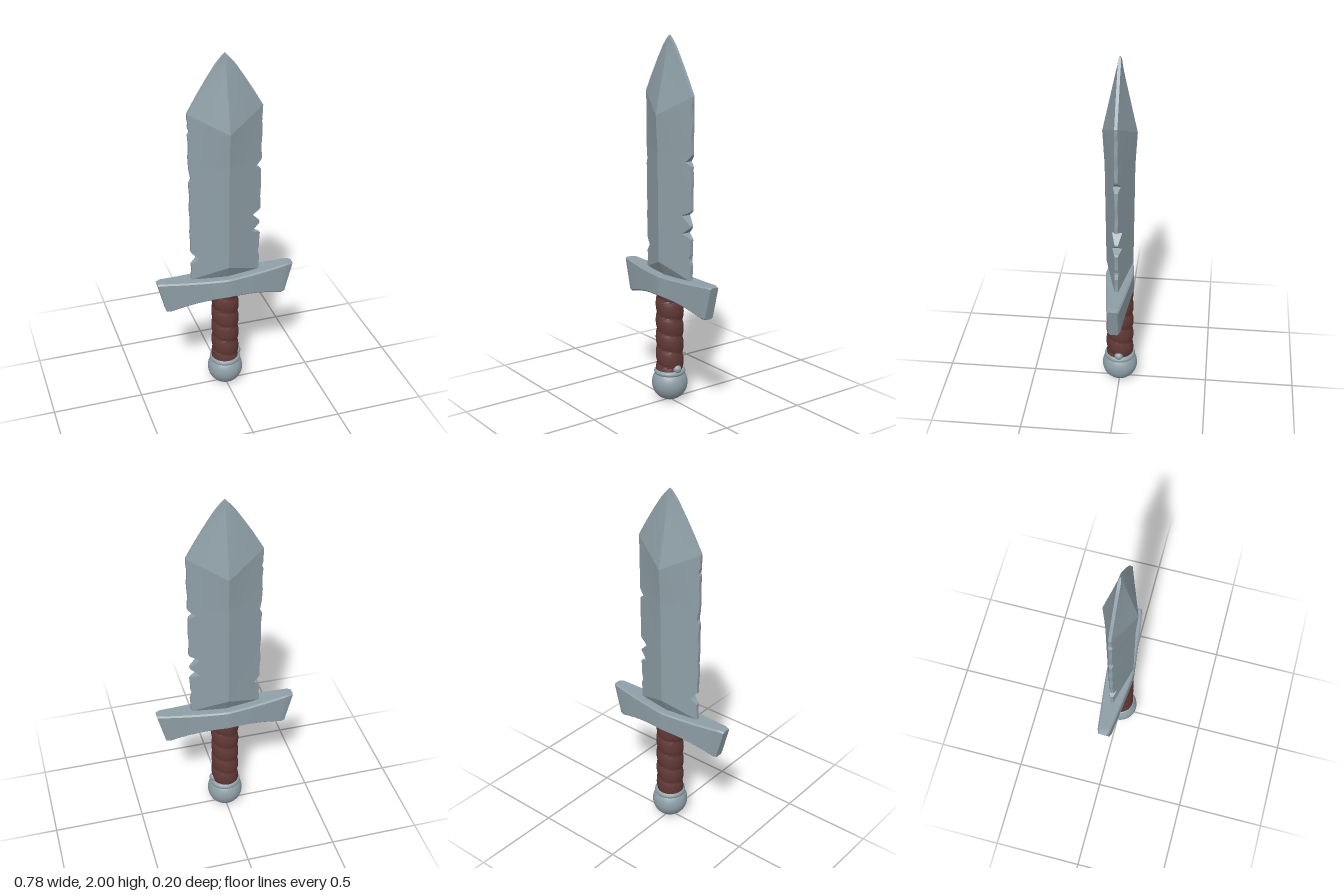
import * as THREE from 'three';
import { toCreasedNormals } from 'three/addons/utils/BufferGeometryUtils.js';

// Piecewise linear lookup in a list of [key, value]
function lookup(points, t) {
  if (t <= points[0][0]) return points[0][1];
  for (let i = 1; i < points.length; i++) {
    const [a, va] = points[i - 1], [b, vb] = points[i];
    if (t <= b) return va + (vb - va) * (t - a) / (b - a);
  }
  return points[points.length - 1][1];
}

// Skin over closed rings of points, with a fan cap at both ends
function loft(rings, crease) {
  const n = rings[0].length, pos = [], index = [];
  rings.forEach(r => r.forEach(p => pos.push(...p)));
  for (let k = 0; k < rings.length - 1; k++) {
    for (let i = 0; i < n; i++) {
      const j = (i + 1) % n, a = k * n, b = a + n;
      index.push(a + i, a + j, b + j, a + i, b + j, b + i);
    }
  }
  [0, rings.length - 1].forEach(k => {
    const c = pos.length / 3;
    pos.push(...[0, 1, 2].map(d => rings[k].reduce((s, p) => s + p[d], 0) / n));
    for (let i = 0; i < n; i++) {
      const a = k * n + i, b = k * n + (i + 1) % n;
      if (k === 0) index.push(c, b, a); else index.push(c, a, b);
    }
  });
  const geo = new THREE.BufferGeometry();
  geo.setAttribute('position', new THREE.Float32BufferAttribute(pos, 3));
  geo.setIndex(index);
  return toCreasedNormals(geo, crease);
}

// Blade: outline, ridge height and the chevron bend of the rows
const OUTLINE = [[0.72, 0.195], [1.7, 0.202], [1.79, 0.15], [1.87, 0.1], [1.945, 0.05], [2, 0.002]];
const RIDGE = [[0.72, 0.032], [0.8, 0.074], [1.4, 0.08], [1.59, 0.091], [2, 0.003]];
const BEND = [[0.72, 0], [0.8, -0.075], [0.95, 0], [1.42, 0], [1.59, 0.11], [2, 0]];
// Nicks in the edges: [side, y, depth, reach below, reach above]
const NICKS = [
  [1, 1.36, 0.035, 0.018, 0.035], [1, 1.075, 0.055, 0.05, 0.025], [1, 0.975, 0.055, 0.02, 0.04],
  [1, 0.84, 0.012, 0.03, 0.03], [-1, 0.855, 0.042, 0.035, 0.04], [-1, 1.33, 0.012, 0.02, 0.05],
  [-1, 1.6, 0.012, 0.015, 0.02],
];

function edgeX(side, y) {
  let x = lookup(OUTLINE, y);
  if (y < 1.66) x -= 0.002 + 0.002 * Math.sin(y * 43 + side);
  for (const [s, ny, depth, below, above] of NICKS) {
    if (s !== side) continue;
    const d = y < ny ? (ny - y) / below : (y - ny) / above;
    if (d < 1) x -= depth * (1 - d);
  }
  return x;
}

function bladeGeometry() {
  const levels = [0.72, 0.76, 0.8];
  for (let y = 0.808; y < 1.585; y += 0.008) levels.push(y);
  for (let i = 0; i <= 24; i++) levels.push(1.59 + 0.41 * i / 24);
  const us = [-1, -0.75, -0.5, -0.25, 0, 0.25, 0.5, 0.75, 1];
  return loft(levels.map(level => {
    const bend = lookup(BEND, level), ridge = lookup(RIDGE, level);
    const thin = Math.min(0.008, ridge);
    const yEdge = level + bend, half = lookup(OUTLINE, yEdge);
    const front = us.map(u => {
      const x = u * edgeX(u < 0 ? -1 : 1, yEdge);
      const z = thin + (ridge - thin) * Math.max(0, 1 - Math.abs(x) / half);
      return [x, level + bend * Math.abs(u), z];
    });
    return [...front, ...front.map(([x, y, z]) => [x, y, -z]).reverse()];
  }), 0.16);
}

// Guard: bevelled bar, thick in the middle and flaring at the ends
function guardGeometry() {
  const rings = [];
  for (let i = 0; i <= 32; i++) {
    const s = i / 16 - 1, end = Math.abs(s) === 1 ? 0.006 : 0;
    const top = 0.722 + 0.018 * s * s - end, bottom = 0.605 - 0.06 * s * s + end;
    const z = 0.077 - 0.045 * Math.pow(Math.abs(s), 1.1) - end, b = 0.008;
    const x = y => s * (0.34 + 0.048 * (y - bottom) / (top - bottom));
    const section = [
      [bottom, z - b], [bottom, b - z], [bottom + b, -z], [top - b, -z],
      [top, b - z], [top, z - b], [top - b, z], [bottom + b, z],
    ];
    rings.push(section.map(([y, w]) => [x(y), y, w]));
  }
  return loft(rings, 0.5);
}

// Grip: a rod with a spiral leather wrap
function gripGeometry() {
  const rings = [];
  for (let k = 0; k <= 70; k++) {
    const y = 0.15 + 0.48 * k / 70, ring = [];
    for (let i = 0; i < 32; i++) {
      const a = -i / 32 * Math.PI * 2;
      const turn = y / 0.095 + i / 32;
      const r = 0.067 + 0.01 * Math.sqrt(Math.sin((turn - Math.floor(turn)) * Math.PI));
      ring.push([Math.cos(a) * r, y, Math.sin(a) * r]);
    }
    rings.push(ring);
  }
  return loft(rings, 0.8);
}

export function createModel() {
  const steel = new THREE.MeshStandardMaterial({ color: 0x8f9fa7 });
  steel.name = 'steel';
  const leather = new THREE.MeshStandardMaterial({ color: 0x613936 });
  leather.name = 'leather';

  const model = new THREE.Group();
  model.name = 'sword';
  const add = (name, geometry, material, x = 0, y = 0, z = 0) => {
    const mesh = new THREE.Mesh(geometry, material);
    mesh.name = name;
    mesh.position.set(x, y, z);
    model.add(mesh);
    return mesh;
  };

  add('blade', bladeGeometry(), steel);
  add('guard', guardGeometry(), steel);
  add('grip', gripGeometry(), leather);

  // Pommel ball with a rough collar around the grip
  add('pommel', new THREE.SphereGeometry(0.099, 40, 28), steel, 0, 0.099, 0);
  add('pommelCollar', new THREE.TorusGeometry(0.071, 0.016, 12, 40), steel, 0, 0.165, 0)
    .rotation.x = Math.PI / 2;
  add('collarLump', new THREE.SphereGeometry(0.024, 16, 12), steel, 0.068, 0.193, 0);

  return model;
}
